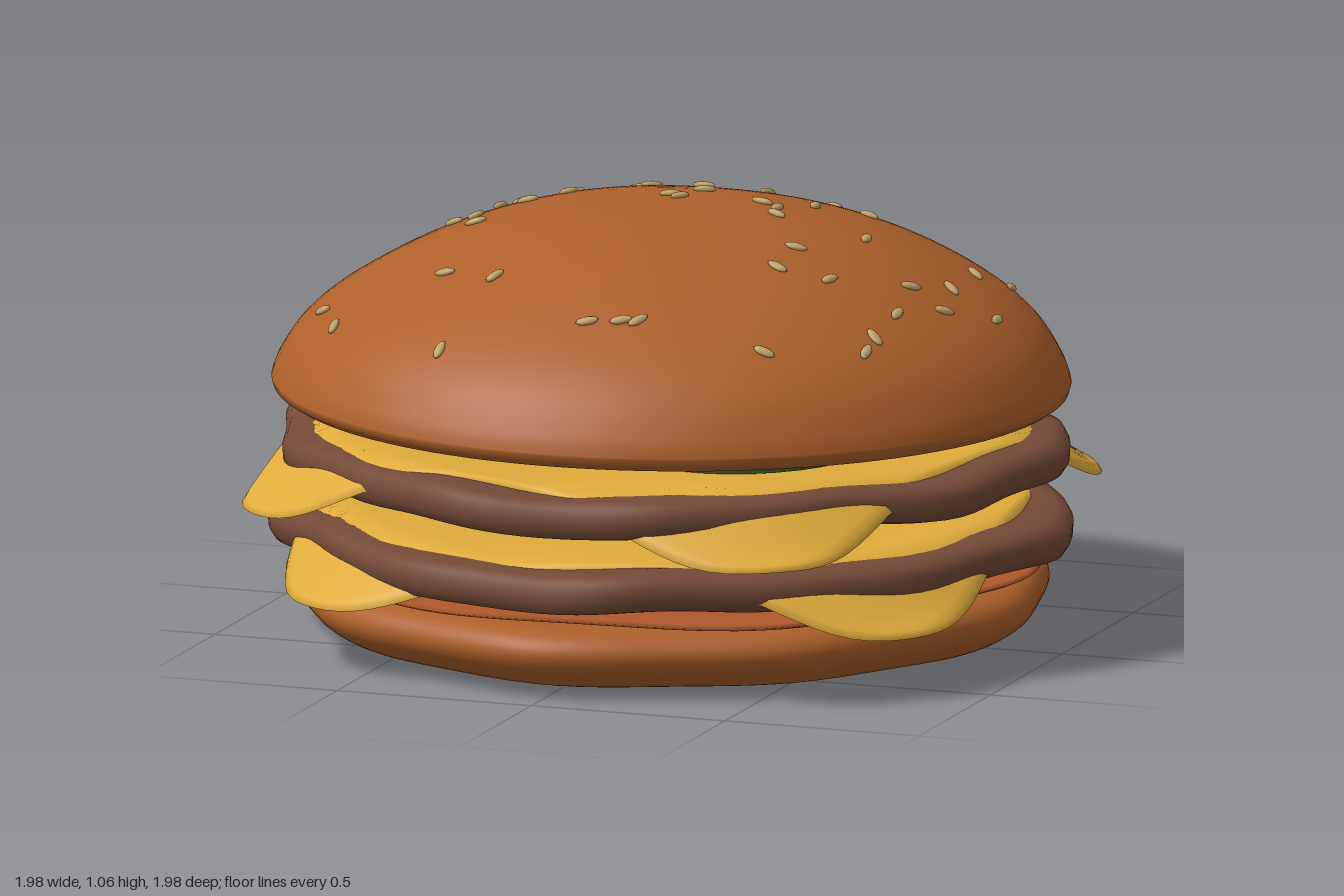
import * as THREE from 'three';
import { mergeVertices } from 'three/addons/utils/BufferGeometryUtils.js';

const mat = (name, color) => new THREE.MeshStandardMaterial({ name, color });
const { sin, cos, abs, max, hypot, atan2, PI } = Math;
const smooth = THREE.MathUtils.smoothstep;

// Revolve a profile, reshape every vertex with rule(r, y, angle) -> [r, y], then smooth it
function warpedLathe(points, rule, segments = 96) {
  const lathe = new THREE.LatheGeometry(points.map(p => new THREE.Vector2(...p)), segments);
  lathe.deleteAttribute('uv');
  lathe.deleteAttribute('normal');
  const pos = lathe.attributes.position;
  for (let i = 0; i < pos.count; i++) {
    const a = atan2(pos.getZ(i), pos.getX(i));
    const [r, y] = rule(hypot(pos.getX(i), pos.getZ(i)), pos.getY(i), a);
    pos.setXYZ(i, r * cos(a), y, r * sin(a));
  }
  const geo = mergeVertices(lathe, 1e-5);
  geo.computeVertexNormals();
  return geo;
}

// Top bun outline and dome height
const domeProfile = new THREE.SplineCurve([
  [0.962, 0.612], [0.945, 0.66], [0.89, 0.745], [0.79, 0.83], [0.62, 0.925], [0.42, 0.997], [0.2, 1.038], [0, 1.05],
].map(p => new THREE.Vector2(...p))).getPoints(42);
const bunScale = a => 1 - 0.075 * max(0, -sin(a)) ** 5 - 0.04 * cos(a) * max(0, sin(a));
const tilt = (x, y) => y - 0.014 * x * max(0, 1 - (y - 0.57) / 0.3);

function domeHeight(x, z) {
  const r = hypot(x, z) / bunScale(atan2(z, x));
  for (let i = 1; i < domeProfile.length; i++) {
    const p = domeProfile[i - 1], q = domeProfile[i];
    if (r >= q.x) return tilt(x, p.y + (q.y - p.y) * Math.min(1, (p.x - r) / (p.x - q.x)));
  }
  return 1.05;
}

// Seed positions, x then z
const SEEDS = [
  -0.37, -0.73, -0.28, -0.71, -0.05, -0.63, -0.01, -0.62, 0.26, -0.66, -0.11, -0.54, -0.07, -0.51, 0.23, -0.49,
  -0.59, -0.42, -0.61, -0.33, -0.42, -0.45, -0.24, -0.41, -0.19, -0.36, -0.37, -0.31, -0.03, -0.29, 0.09, -0.41,
  0.38, -0.33, 0.72, -0.4, 0.69, -0.23, 0.29, -0.2, -0.49, -0.26, -0.51, -0.17, -0.41, -0.09, -0.33, -0.16,
  0.02, -0.16, -0.03, -0.06, 0, -0.04, 0.19, -0.1, 0.24, -0.07, 0.26, -0.01, 0.48, -0.04, 0.71, -0.01,
  0.82, -0.03, -0.57, -0.01, -0.51, 0, -0.47, 0.11, 0.65, 0.11, 0.74, 0.12, 0.38, 0.18, 0.5, 0.27,
  0.38, 0.31, 0.67, 0.26, 0.66, 0.39, 0.66, 0.45, -0.76, 0.39, -0.68, 0.53, -0.42, 0.46, -0.27, 0.52,
  0.03, 0.69, 0.11, 0.67, 0.15, 0.66, 0.46, 0.62, -0.32, 0.77,
];

export function createModel() {
  const group = new THREE.Group();
  const bun = mat('toasted bun', 0xae602a);
  const meat = mat('grilled meat', 0x754a37);
  const cheese = mat('cheese', 0xdfab3b);
  const pickle = mat('pickle green', 0x3b5623);
  const seed = mat('sesame', 0xbfa268);
  const tomato = mat('tomato', 0xb0582c);
  const add = (name, geo, material) => {
    const mesh = new THREE.Mesh(geo, material);
    mesh.name = name;
    group.add(mesh);
    return mesh;
  };

  // Bottom bun with a gently lobed rim
  const rim = new THREE.SplineCurve([
    [0.72, 0.002], [0.83, 0.02], [0.91, 0.065], [0.935, 0.11], [0.915, 0.15], [0.86, 0.17], [0.75, 0.172],
  ].map(p => new THREE.Vector2(...p))).getPoints(24).map(p => [p.x, p.y]);
  add('bottomBun', warpedLathe([[0, 0], [0.4, 0], [0.68, 0], ...rim, [0.4, 0.172], [0, 0.172]], (r, y, a) =>
    [r * (1 + 0.014 * sin(9 * a) + 0.012 * sin(4 * a + 1) - 0.02 * max(0, -sin(a)) - 0.02 * max(0, cos(a))), y]), bun);

  // Thin tomato layer on the bottom bun
  add('tomatoSlice', warpedLathe([[0, 0.176], [0.8, 0.176], [0.89, 0.178], [0.905, 0.185], [0.89, 0.192], [0.8, 0.194], [0, 0.194]],
    (r, y, a) => [r * (1 + 0.015 * sin(7 * a + 1)), y + (r > 0.7 ? 0.005 * sin(5 * a) : 0)]), tomato);

  // Two patties, each with a square of cheese whose corners hang out below the rim
  const layers = [
    { name: 'lower', base: 0.215, size: 1, turn: 37.5, phase: 0.4 },
    { name: 'upper', base: 0.4, size: 0.985, turn: 56.5, phase: 2.1 },
  ];
  for (const { name, base, size, turn, phase } of layers) {
    const side = [[0.8, 0], [0.9, 0.002], [0.945, 0.012], [0.96, 0.035], [0.962, 0.065], [0.95, 0.088], [0.92, 0.1], [0.87, 0.102], [0.8, 0.098]];
    add(name + 'Patty', warpedLathe([[0, 0], [0.5, 0], ...side, [0.5, 0.095], [0, 0.095]], (r, y, a) => {
      const edge = smooth(r, 0.6, 0.9);
      const lumps = 0.024 * cos(4 * a) + 0.011 * cos(9 * a + phase) + 0.007 * sin(14 * a + phase);
      return [size * (r + edge * lumps), base + y + edge * (0.006 * sin(6 * a + phase) + 0.004 * sin(11 * a))];
    }, 128), meat);

    // Cheese: rounded square outline that dips behind the patty rim
    const rings = [0, 0.3, 0.6, 0.7, 0.76, 0.8, 0.84, 0.88, 0.91, 0.94, 0.97, 0.99, 1];
    const sheet = [
      ...rings.map(r => [r, 0]),
      ...rings.slice(0, -1).reverse().map(r => [r, 0.014]),
    ];
    add(name + 'Cheese', warpedLathe(sheet, (r, y, a) => {
      const b = a - turn * PI / 180 + PI / 4;
      const n = 5.2;
      const reach = 0.858 / (abs(cos(b)) ** n + abs(sin(b)) ** n) ** (1 / n);
      const radius = r * reach * (1 + 0.01 * sin(5 * a + phase));
      const drop = 0.155 * smooth(radius, 0.83, 1.06);
      const ripple = 0.006 * sin(6 * a + phase) * smooth(radius, 0.6, 0.9);
      return [radius, base + 0.1 + y - drop + ripple];
    }, 160), cheese);
  }

  // Overlapping pickle slices: x, y, z, lean
  const slices = [[-0.36, 0.548, 0.28, -0.05], [0.3, 0.534, 0.3, 0.02], [-0.28, 0.537, -0.18, 0.04], [0.27, 0.546, -0.17, 0.05]];
  for (const [x, y, z, lean] of slices) {
    const slice = add('pickleSlice', new THREE.CylinderGeometry(0.3, 0.3, 0.028, 32), pickle);
    slice.position.set(x, y, z);
    slice.rotation.set(lean * 0.6, 0, lean);
  }

  // Domed top bun
  const crown = [[0, 0.588], [0.5, 0.584], [0.8, 0.578], [0.89, 0.576], [0.935, 0.581], [0.957, 0.595], ...domeProfile.map(p => [p.x, p.y])];
  add('topBun', warpedLathe(crown, (r, y, a) => {
    const radius = r * bunScale(a);
    return [radius, tilt(radius * cos(a), y)];
  }), bun);

  // Sesame seeds laid flat on the dome
  const seedGeo = new THREE.SphereGeometry(1, 10, 6).scale(0.029, 0.009, 0.013);
  const up = new THREE.Vector3(0, 1, 0);
  const seeds = new THREE.Group();
  seeds.name = 'sesameSeeds';
  for (let i = 0; i < SEEDS.length; i += 2) {
    const x = SEEDS[i], z = SEEDS[i + 1], e = 0.02;
    const normal = new THREE.Vector3(
      domeHeight(x - e, z) - domeHeight(x + e, z), 2 * e, domeHeight(x, z - e) - domeHeight(x, z + e)).normalize();
    const mesh = new THREE.Mesh(seedGeo, seed);
    mesh.name = 'seed';
    mesh.position.set(x, domeHeight(x, z), z).addScaledVector(normal, 0.004);
    mesh.quaternion.setFromUnitVectors(up, normal);
    mesh.rotateY(0.6 + 1.1 * sin(i * 1.7));
    seeds.add(mesh);
  }
  group.add(seeds);
  return group;
}
